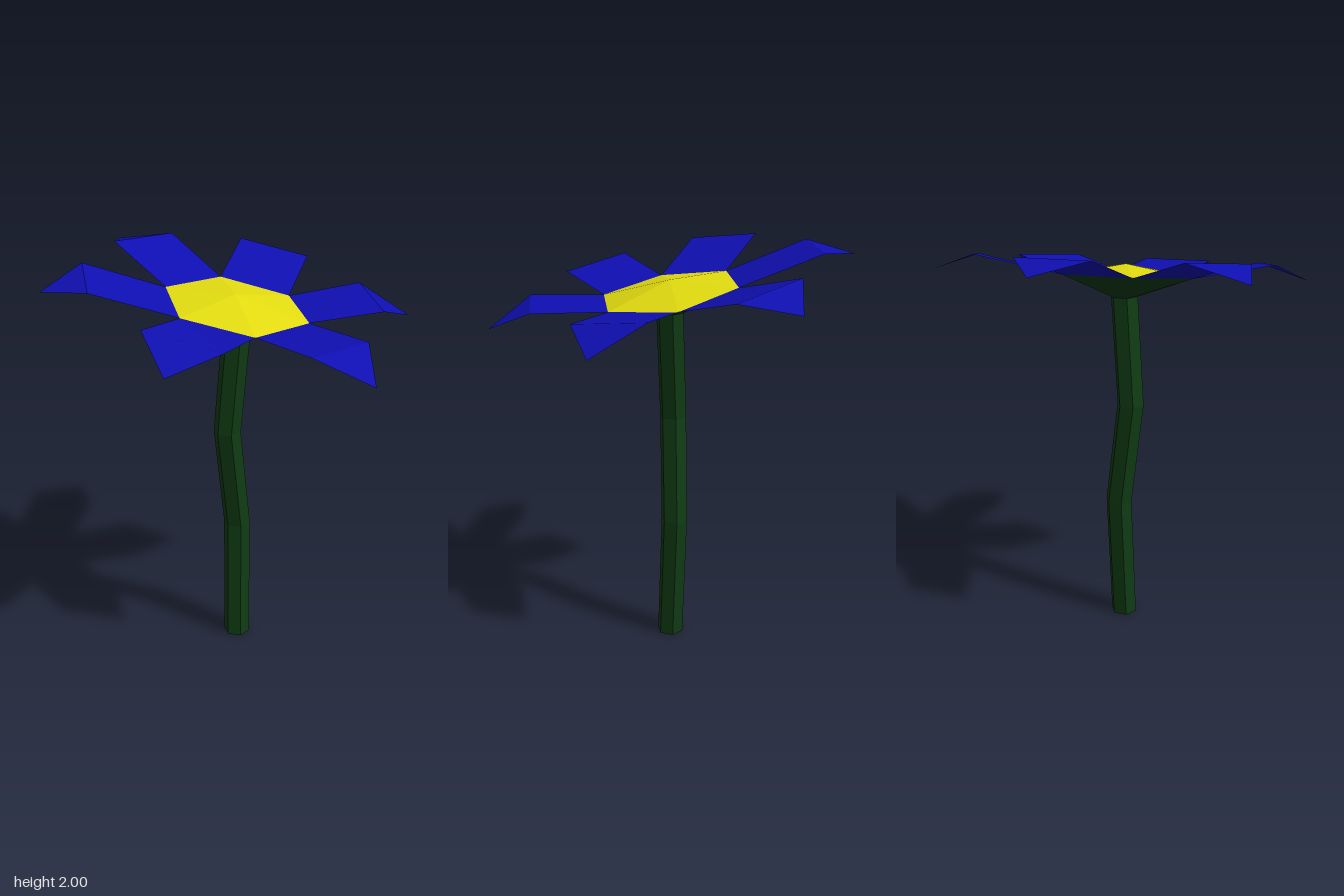
import * as THREE from 'three';

const green = new THREE.MeshStandardMaterial({ name: 'stemGreen', color: 0x103c14, flatShading: true });
const yellow = new THREE.MeshStandardMaterial({ name: 'discYellow', color: 0xe2db10, flatShading: true });
const blue = new THREE.MeshStandardMaterial({ name: 'petalBlue', color: 0x0f0fb2, flatShading: true, side: THREE.DoubleSide });

// Faceted mesh from a list of triangles, each three [x, y, z] points
function facets(name, triangles, material) {
  const geometry = new THREE.BufferGeometry();
  geometry.setAttribute('position', new THREE.Float32BufferAttribute(triangles.flat(2), 3));
  geometry.computeVertexNormals();
  const mesh = new THREE.Mesh(geometry, material);
  mesh.name = name;
  return mesh;
}

// Triangles joining a lower ring to an upper ring, facing outward
function band(lower, upper) {
  return lower.flatMap((p, i) => {
    const j = (i + 1) % lower.length;
    return [[p, lower[j], upper[j]], [p, upper[j], upper[i]]];
  });
}

// Horizontal six-sided ring of the stem
function stemRing([x, y, z]) {
  return Array.from({ length: 6 }, (_, i) => {
    const a = (i * Math.PI) / 3 - 0.08;
    return [x + 0.067 * Math.sin(a), y, z + 0.067 * Math.cos(a)];
  });
}

export function createModel() {
  const flower = new THREE.Group();
  flower.name = 'flower';

  // Crooked stem with a closed foot
  const rings = [[0.01, 0, 0.012], [0.021, 0.65, -0.013], [-0.039, 1.175, 0.008], [0.008, 1.7, 0.012]].map(stemRing);
  const stem = rings.slice(1).flatMap((ring, i) => band(rings[i], ring));
  for (let i = 1; i < 5; i++) stem.push([rings[0][0], rings[0][i + 1], rings[0][i]]);
  flower.add(facets('stem', stem, green));

  // Tilted rim of the flower head, anticlockwise from the front
  const rim = [
    [-0.045, 1.755, 0.35], [0.27, 1.745, 0.23], [0.325, 1.775, -0.105],
    [0.06, 1.84, -0.32], [-0.26, 1.855, -0.2], [-0.31, 1.81, 0.135],
  ];
  flower.add(facets('calyx', band(rings[3], rim), green));

  // Low pyramid in the middle
  const apex = [0, 1.85, 0.015];
  flower.add(facets('disc', rim.map((p, i) => [apex, p, rim[(i + 1) % 6]]), yellow));

  // One petal per rim edge: two bend corners and a tip
  const petals = [
    [[0.06, 1.76, 0.68], [0.39, 1.745, 0.555], [0.295, 1.64, 0.8]],
    [[0.625, 1.77, 0.28], [0.685, 1.81, -0.07], [0.85, 1.685, 0.135]],
    [[0.565, 1.875, -0.4], [0.295, 1.94, -0.63], [0.56, 1.84, -0.67]],
    [[-0.06, 1.985, -0.685], [-0.395, 2, -0.56], [-0.295, 1.955, -0.805]],
    [[-0.625, 1.985, -0.28], [-0.69, 1.942, 0.065], [-0.853, 1.91, -0.14]],
    [[-0.565, 1.87, 0.4], [-0.295, 1.81, 0.625], [-0.56, 1.757, 0.665]],
  ];
  petals.forEach(([bendA, bendB, tip], i) => {
    const a = rim[i], b = rim[(i + 1) % 6];
    flower.add(facets(`petal${i + 1}`, [[a, bendA, bendB], [a, bendB, b], [bendA, tip, bendB]], blue));
  });

  return flower;
}
